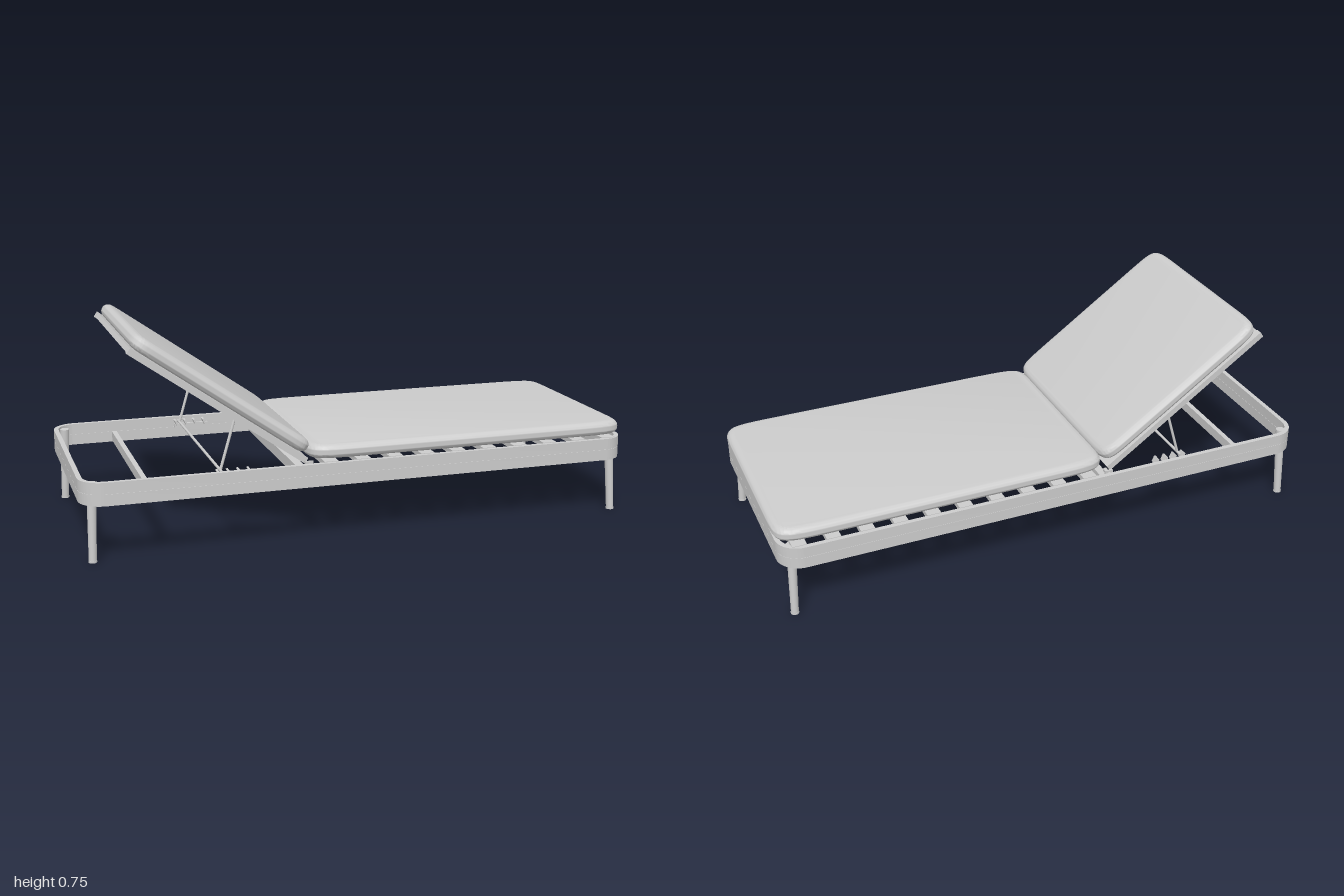
import * as THREE from 'three';
import { toCreasedNormals } from 'three/addons/utils/BufferGeometryUtils.js';

const grey = new THREE.MeshStandardMaterial({ color: 0xcccccc });
grey.name = 'lightGrey';

function add(parent, name, geometry, x = 0, y = 0, z = 0) {
  const mesh = new THREE.Mesh(geometry, grey);
  mesh.name = name;
  mesh.position.set(x, y, z);
  parent.add(mesh);
  return mesh;
}

const box = (parent, name, w, h, d, x, y, z) =>
  add(parent, name, new THREE.BoxGeometry(w, h, d), x, y, z);

// round bar between two points, r1 at the end and r0 at the start
function rod(parent, name, a, b, r0, r1 = r0) {
  const start = new THREE.Vector3(...a), end = new THREE.Vector3(...b);
  const dir = end.clone().sub(start);
  const mesh = add(parent, name, new THREE.CylinderGeometry(r1, r0, dir.length(), 20));
  mesh.position.copy(start).addScaledVector(dir, 0.5);
  mesh.quaternion.setFromUnitVectors(new THREE.Vector3(0, 1, 0), dir.normalize());
  return mesh;
}

function roundedRect(path, hx, hz, r) {
  path.moveTo(hx, -hz + r);
  path.lineTo(hx, hz - r);
  path.absarc(hx - r, hz - r, r, 0, Math.PI / 2);
  path.absarc(-hx + r, hz - r, r, Math.PI / 2, Math.PI);
  path.absarc(-hx + r, -hz + r, r, Math.PI, Math.PI * 1.5);
  path.absarc(hx - r, -hz + r, r, Math.PI * 1.5, Math.PI * 2);
  return path;
}

// rounded rectangular ring, standing on its own y = 0
function frameBand(hx, hz, radius, wall, height) {
  const shape = roundedRect(new THREE.Shape(), hx, hz, radius);
  shape.holes.push(roundedRect(new THREE.Path(), hx - wall, hz - wall, radius - wall));
  const g = new THREE.ExtrudeGeometry(shape, { depth: height, bevelEnabled: false, curveSegments: 12 });
  g.rotateX(-Math.PI / 2);
  return toCreasedNormals(g, 0.6);
}

// soft cushion: a gently bowed outline with a fully rounded edge
function cushion(hx, hz, thickness) {
  const points = [], n = 14, edge = 0.028, half = thickness / 2;
  const soft = v => Math.sign(v) * Math.pow(Math.abs(v), 2 / n);
  for (let i = 0; i < 120; i++) {
    const t = (i / 120) * Math.PI * 2;
    points.push(new THREE.Vector2(hx * soft(Math.cos(t)), hz * soft(Math.sin(t))));
  }
  const g = new THREE.ExtrudeGeometry(new THREE.Shape(points), {
    depth: 0.004, bevelEnabled: true, bevelThickness: half - 0.002,
    bevelSize: edge, bevelOffset: -edge, bevelSegments: 8,
  });
  g.translate(0, 0, -0.002);
  g.rotateX(-Math.PI / 2);
  return toCreasedNormals(g, 0.7);
}

export function createModel() {
  const model = new THREE.Group();
  model.name = 'sunLounger';

  // outer frame: two bands with a fine seam at mid height
  const band = frameBand(0.995, 0.415, 0.085, 0.017, 0.0395);
  add(model, 'frameLowerBand', band, -0.005, 0.2, 0);
  add(model, 'frameUpperBand', band, -0.005, 0.2405, 0);
  add(model, 'frameSeam', frameBand(0.993, 0.413, 0.083, 0.013, 0.002), -0.005, 0.239, 0);

  // splayed legs with foot caps
  for (const side of [-1, 1]) {
    for (const [top, bottom] of [[-0.957, -0.964], [0.943, 0.954]]) {
      rod(model, 'leg', [bottom, 0.005, side * 0.378], [top, 0.272, side * 0.364], 0.0135, 0.0165);
      add(model, 'footCap', new THREE.CylinderGeometry(0.0145, 0.0145, 0.006, 20), bottom, 0.003, side * 0.378);
    }
  }

  // cross bars under the back half
  box(model, 'crossBar', 0.018, 0.036, 0.8, -0.765, 0.222, 0);
  box(model, 'crossBar', 0.03, 0.04, 0.8, -0.22, 0.224, 0);

  // seat slats
  for (let i = 0; i < 10; i++) {
    box(model, 'seatSlat', 0.05, 0.018, 0.8, -0.14 + i * 0.118, 0.273, 0);
  }

  // seat cushion
  add(model, 'seatCushion', cushion(0.605, 0.388, 0.051), 0.392, 0.308, 0);

  // raised backrest, hinged at its lower end
  const back = new THREE.Group();
  back.name = 'backrest';
  back.position.set(-0.205, 0.285, 0);
  back.rotation.z = -35 * Math.PI / 180;
  model.add(back);
  add(back, 'backCushion', cushion(0.366, 0.38, 0.05), -0.384, 0.026, 0);
  for (const side of [-1, 1]) {
    box(back, 'backRail', 0.73, 0.022, 0.022, -0.38, -0.011, side * 0.366);
  }
  for (let i = 0; i < 7; i++) {
    box(back, 'backSlat', 0.05, 0.018, 0.72, -0.04 - i * 0.113, -0.01, 0);
  }

  // hinge pins, prop stand and its notched catches
  for (const side of [-1, 1]) {
    rod(model, 'hingePin', [-0.218, 0.272, side * 0.36], [-0.218, 0.272, side * 0.402], 0.008);
    box(model, 'hingePlate', 0.03, 0.05, 0.008, -0.218, 0.262, side * 0.39);
    rod(model, 'propArm', [-0.52, 0.27, side * 0.35], [-0.468, 0.446, side * 0.35], 0.005);
    box(model, 'catchPlate', 0.13, 0.014, 0.012, -0.47, 0.251, side * 0.376);
    for (let i = 0; i < 4; i++) {
      const tooth = box(model, 'catchTooth', 0.007, 0.024, 0.03, -0.53 + i * 0.036, 0.264, side * 0.366);
      tooth.rotation.z = 0.4;
    }
  }
  rod(model, 'propFoot', [-0.52, 0.27, -0.375], [-0.52, 0.27, 0.375], 0.005);

  return model;
}
